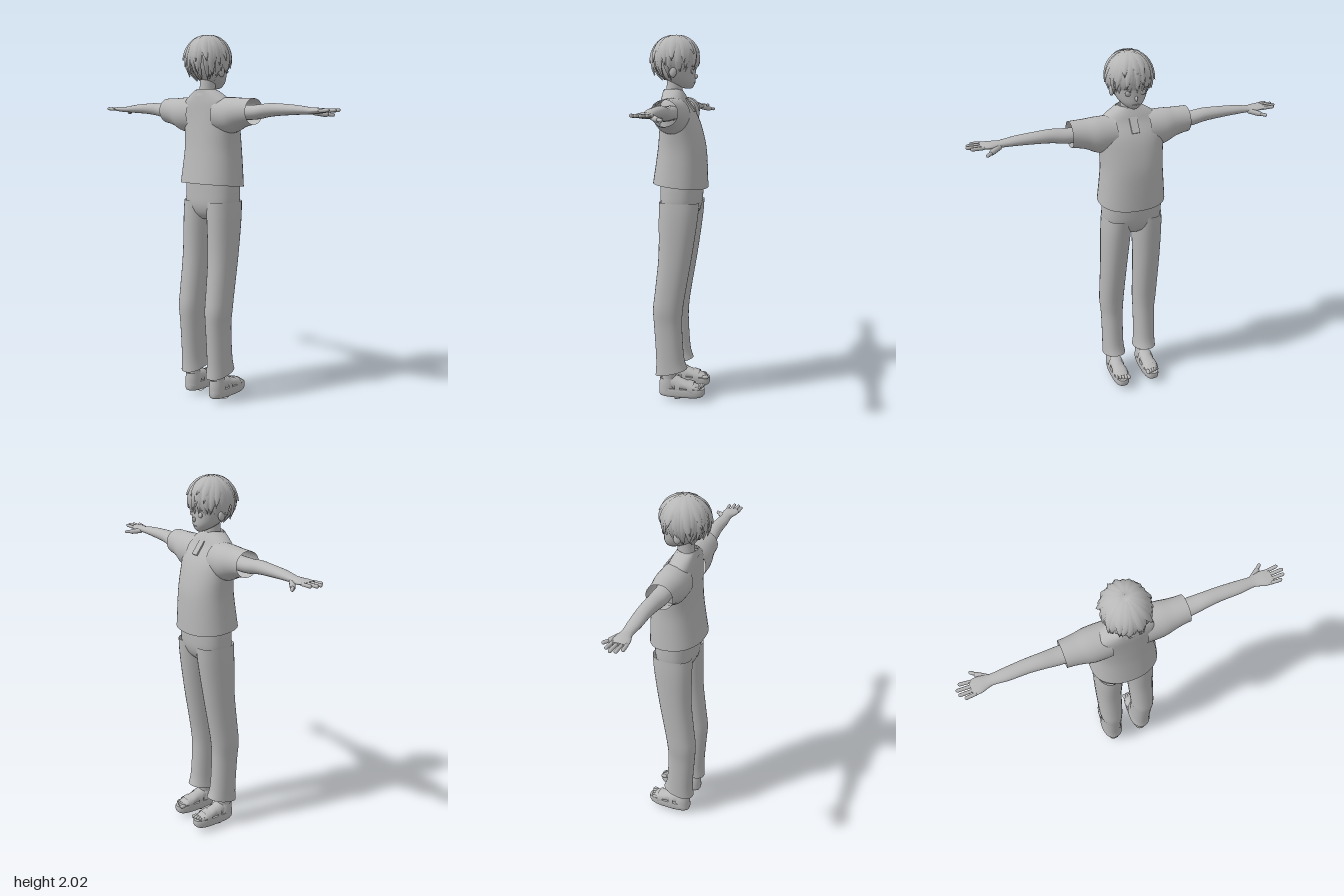
import * as THREE from 'three';
import { mergeGeometries } from 'three/addons/utils/BufferGeometryUtils.js';

const grey = new THREE.MeshStandardMaterial({ color: 0xb8b8b8, side: THREE.DoubleSide });
grey.name = 'plain grey';

const cr = (a, b, c, d, t) =>
  0.5 * (2 * b + (c - a) * t + (2 * a - 5 * b + 4 * c - d) * t * t + (3 * b - a - 3 * c + d) * t * t * t);
const ORDER = { y: [1, 0, 2], x: [0, 2, 1], z: [2, 1, 0] };

// Smooth tube through rings [pos, centreA, centreB, halfA, halfB] along an axis.
// (A, B) are x,z for axis y; z,y for axis x; y,x for axis z.
function loft(axis, rings, { power = 2, seg = 28, sub = 4, caps = false } = {}) {
  const [iP, iA, iB] = ORDER[axis], last = rings.length - 1, pos = [], idx = [];
  const at = (i) => rings[Math.max(0, Math.min(last, i))];
  const total = last * sub;
  for (let r = 0; r <= total; r++) {
    const k = Math.min(Math.floor(r / sub), last - 1), t = r / sub - k;
    const v = at(0).map((_, j) => cr(at(k - 1)[j], at(k)[j], at(k + 1)[j], at(k + 2)[j], t));
    for (let s = 0; s < seg; s++) {
      const c = Math.cos((s / seg) * Math.PI * 2), n = Math.sin((s / seg) * Math.PI * 2), p = [];
      p[iP] = v[0];
      p[iA] = v[1] + v[3] * Math.sign(c) * Math.abs(c) ** (2 / power);
      p[iB] = v[2] + v[4] * Math.sign(n) * Math.abs(n) ** (2 / power);
      pos.push(...p);
      if (r < total) {
        const a = r * seg + s, b = r * seg + ((s + 1) % seg);
        idx.push(a, a + seg, b, b, a + seg, b + seg);
      }
    }
  }
  if (caps) for (const end of [0, total]) {
    const base = pos.length / 3, g = end ? rings[last] : rings[0], p = [];
    pos.push(...pos.slice(end * seg * 3, (end + 1) * seg * 3));
    p[iP] = g[0]; p[iA] = g[1]; p[iB] = g[2];
    pos.push(...p);
    for (let s = 0; s < seg; s++) {
      const a = base + s, b = base + ((s + 1) % seg);
      idx.push(base + seg, ...(end ? [b, a] : [a, b]));
    }
  }
  return build(pos, idx);
}

function build(pos, idx) {
  const g = new THREE.BufferGeometry();
  g.setAttribute('position', new THREE.Float32BufferAttribute(pos, 3));
  g.setIndex(idx);
  g.computeVertexNormals();
  return g;
}

// Move vertices by a rule
function bend(g, rule) {
  const p = g.attributes.position, v = new THREE.Vector3();
  for (let i = 0; i < p.count; i++) {
    rule(v.fromBufferAttribute(p, i));
    p.setXYZ(i, v.x, v.y, v.z);
  }
  g.computeVertexNormals();
  return g;
}

const ball = (x, y, z, rx, ry, rz) => new THREE.SphereGeometry(1, 16, 12).scale(rx, ry, rz).translate(x, y, z);

// Round-ended digit between two points
function digit(a, b, r) {
  const A = new THREE.Vector3(...a), B = new THREE.Vector3(...b), d = B.clone().sub(A);
  const q = new THREE.Quaternion().setFromUnitVectors(new THREE.Vector3(0, 1, 0), d.clone().normalize());
  const m = A.add(B).multiplyScalar(0.5);
  return new THREE.CapsuleGeometry(r, d.length(), 4, 10).applyQuaternion(q).translate(m.x, m.y, m.z);
}

function mirrored(g) {
  const m = g.clone().scale(-1, 1, 1);
  m.setIndex(Array.from(g.index.array).reverse());
  return m;
}

// One tapered lock of hair lying over the skull, with a raised middle
const SKULL = { y: 1.87, z: 0.02, rx: 0.112, ry: 0.118, rz: 0.121 };
function lock(phi, t0, t1, width, lift, twist, flick) {
  const pos = [], idx = [], N = 9;
  for (let i = 0; i <= N; i++) {
    const s = i / N, th = t0 + (t1 - t0) * s, ph = phi + twist * s * s;
    const w = width * Math.sin(Math.PI * (0.12 + 0.88 * s)) ** 0.6 * (1 - 0.35 * s);
    const k = 1 + lift * Math.sin(Math.PI * Math.min(1, s * 1.2) * 0.5) + flick * s ** 4;
    for (const e of [-1, 0, 1]) {
      const q = ph + (e * w) / Math.max(0.035, 0.115 * Math.sin(th)), kk = k + (e ? -0.03 : 0.035);
      pos.push(SKULL.rx * kk * Math.sin(th) * Math.sin(q), SKULL.y + SKULL.ry * kk * Math.cos(th),
        SKULL.z + SKULL.rz * kk * Math.sin(th) * Math.cos(q));
    }
    if (i < N) for (const j of [0, 1]) {
      const a = i * 3 + j;
      idx.push(a, a + 3, a + 1, a + 1, a + 3, a + 4);
    }
  }
  return build(pos, idx);
}

export function createModel() {
  const model = new THREE.Group();
  model.name = 'standing figure';
  const add = (name, g) => {
    const m = new THREE.Mesh(g, grey);
    m.name = name;
    model.add(m);
  };
  const pair = (name, g) => { add('left ' + name, g); add('right ' + name, mirrored(g)); };

  // Head and neck; the face looks toward -z
  add('head', loft('y', [
    [1.708, 0, -0.05, 0.012, 0.014], [1.718, 0, -0.042, 0.032, 0.035], [1.745, 0, -0.018, 0.064, 0.07],
    [1.785, 0, 0.002, 0.086, 0.09], [1.84, 0, 0.013, 0.099, 0.1], [1.9, 0, 0.02, 0.1, 0.105],
    [1.95, 0, 0.02, 0.075, 0.08], [1.975, 0, 0.02, 0.035, 0.035]], { caps: true }));
  add('nose', ball(0, 1.773, -0.09, 0.008, 0.013, 0.014));
  add('mouth', ball(0, 1.74, -0.085, 0.018, 0.003, 0.005));
  pair('eye', ball(0.038, 1.8, -0.078, 0.018, 0.014, 0.007));
  pair('eyebrow', ball(0.04, 1.825, -0.081, 0.022, 0.003, 0.005));
  pair('ear', ball(0.095, 1.795, 0.015, 0.012, 0.028, 0.02));
  add('neck', loft('y', [[1.64, 0, 0.03, 0.055, 0.05], [1.69, 0, 0.027, 0.043, 0.044], [1.77, 0, 0.02, 0.042, 0.044]]));

  // Hair: a cap with layers of locks fanning out from the crown
  add('hair cap', new THREE.SphereGeometry(1, 32, 14, 0, Math.PI * 2, 0, 1.5)
    .scale(SKULL.rx, SKULL.ry, SKULL.rz).translate(0, SKULL.y, SKULL.z));
  add('back hair', new THREE.SphereGeometry(1, 24, 10, Math.PI * 0.93, Math.PI * 1.14, 1.45, 1.05)
    .scale(SKULL.rx, SKULL.ry, SKULL.rz).translate(0, SKULL.y, SKULL.z));
  let seed = 7;
  const rnd = () => (seed = (seed * 16807) % 2147483647) / 2147483647;
  const locks = [];
  for (const [count, extra, lift, width] of [[22, 0.1, 0.02, 0.024], [18, -0.25, 0.055, 0.026], [13, -0.7, 0.07, 0.026]]) {
    for (let i = 0; i < count; i++) {
      const phi = ((i + rnd() * 0.5) / count) * Math.PI * 2;
      const front = Math.max(0, -Math.cos(phi));
      const end = 2.5 - 0.45 * front ** 2 + extra + (rnd() - 0.5) * 0.25;
      locks.push(lock(phi, 0.08, end, width, lift, (rnd() - 0.5) * 0.5, 0.02 + rnd() * 0.14 * (1 - front)));
    }
  }
  add('hair locks', mergeGeometries(locks));

  // Shirt, with a hem that drops toward the front
  add('shirt body', bend(loft('y', [
    [1.188, 0, -0.01, 0.184, 0.149], [1.3, 0, -0.016, 0.174, 0.139], [1.4, 0, -0.018, 0.168, 0.128],
    [1.5, 0, -0.01, 0.175, 0.111], [1.57, 0, 0.002, 0.185, 0.094], [1.63, 0, 0.02, 0.165, 0.073],
    [1.668, 0, 0.027, 0.12, 0.062], [1.7, 0, 0.034, 0.064, 0.051]], { power: 2.25, seg: 40 }),
  (v) => { v.y += 0.09 * v.z * Math.max(0, (1.4 - v.y) / 0.2); }));
  pair('sleeve', loft('x', [
    [0.09, 0.01, 1.567, 0.09, 0.095], [0.18, 0.01, 1.568, 0.09, 0.094], [0.24, 0.012, 1.579, 0.079, 0.079],
    [0.285, 0.013, 1.585, 0.073, 0.072], [0.323, 0.013, 1.588, 0.071, 0.068]]));
  add('collar', bend(loft('y', [[1.67, 0, 0.026, 0.085, 0.066], [1.69, 0, 0.031, 0.068, 0.055],
    [1.706, 0, 0.034, 0.056, 0.048]]), (v) => { if (v.z < 0) v.y += 0.35 * v.z; }));
  add('placket', new THREE.BoxGeometry(0.042, 0.085, 0.008).rotateX(0.62).translate(0, 1.622, -0.064));

  // Arms and hands
  pair('arm', loft('x', [
    [0.15, 0.015, 1.582, 0.05, 0.04], [0.33, 0.012, 1.584, 0.048, 0.038], [0.42, 0.012, 1.595, 0.042, 0.035],
    [0.5, 0.01, 1.598, 0.038, 0.03], [0.6, 0.012, 1.597, 0.035, 0.024], [0.67, 0.01, 1.594, 0.029, 0.018],
    [0.7, 0.01, 1.593, 0.033, 0.016], [0.74, 0.013, 1.594, 0.043, 0.014], [0.782, 0.017, 1.595, 0.041, 0.009]],
  { caps: true }));
  const digits = [[0.825, -0.017, -0.022], [0.843, 0.006, 0.004], [0.838, 0.029, 0.03], [0.815, 0.05, 0.054]]
    .map(([tip, z0, z1]) => digit([0.77, 1.594, z0], [tip, 1.597, z1], 0.009));
  digits.push(digit([0.69, 1.586, -0.012], [0.735, 1.577, -0.045], 0.014));
  digits.push(digit([0.73, 1.578, -0.042], [0.76, 1.574, -0.069], 0.009));
  pair('fingers', mergeGeometries(digits));

  // Trousers, with slanted hems
  add('trouser seat', loft('y', [
    [1.0, 0, -0.012, 0.06, 0.06], [1.03, 0, -0.013, 0.13, 0.09], [1.08, 0, -0.015, 0.161, 0.109],
    [1.15, 0, -0.017, 0.164, 0.113], [1.22, 0, -0.017, 0.16, 0.113]], { power: 2.4, seg: 36 }));
  pair('trouser leg', bend(loft('y', [
    [0.144, 0.097, 0.025, 0.065, 0.09], [0.22, 0.1, 0.032, 0.06, 0.078], [0.4, 0.1, 0.043, 0.061, 0.078],
    [0.5, 0.102, 0.043, 0.067, 0.083], [0.6, 0.101, 0.03, 0.069, 0.085], [0.8, 0.097, 0.003, 0.073, 0.092],
    [1.0, 0.09, -0.012, 0.079, 0.106], [1.1, 0.085, -0.017, 0.079, 0.11]], { power: 2.2 }),
  (v) => { v.y -= 0.25 * v.z * Math.max(0, (0.3 - v.y) / 0.156); }));

  // Bare feet in thick-soled sandals
  pair('ankle', loft('y', [[0.05, 0.096, 0.045, 0.034, 0.04], [0.12, 0.096, 0.04, 0.033, 0.038], [0.3, 0.098, 0.042, 0.04, 0.045]]));
  pair('sole', loft('y', [
    [0, 0.095, -0.03, 0.041, 0.118], [0.012, 0.095, -0.034, 0.046, 0.128],
    [0.035, 0.095, -0.035, 0.047, 0.13], [0.048, 0.095, -0.035, 0.045, 0.128]], { power: 2.8, caps: true }));
  pair('foot', loft('z', [
    [-0.13, 0.053, 0.095, 0.012, 0.038], [-0.08, 0.06, 0.095, 0.024, 0.041], [-0.02, 0.068, 0.095, 0.037, 0.037],
    [0.04, 0.073, 0.095, 0.043, 0.035], [0.085, 0.068, 0.095, 0.028, 0.024]], { caps: true }));
  pair('toes', mergeGeometries([0, 1, 2, 3, 4].map((i) =>
    ball(0.063 + i * 0.016, 0.054, -0.141 + i * 0.005, 0.0115 - i * 0.001, 0.011, 0.02))));
  const strap = (z0, z1, h) => loft('z', [[z0, 0.045, 0.095, h, 0.046], [z1, 0.045, 0.095, h + 0.01, 0.046]], { power: 2.4 });
  pair('straps', mergeGeometries([strap(-0.105, -0.07, 0.038), strap(-0.03, 0.0, 0.06)]));
  pair('heel cup', loft('y', [[0.03, 0.095, 0.045, 0.044, 0.05], [0.07, 0.095, 0.045, 0.042, 0.049],
    [0.102, 0.095, 0.048, 0.037, 0.042]]));
  return model;
}
